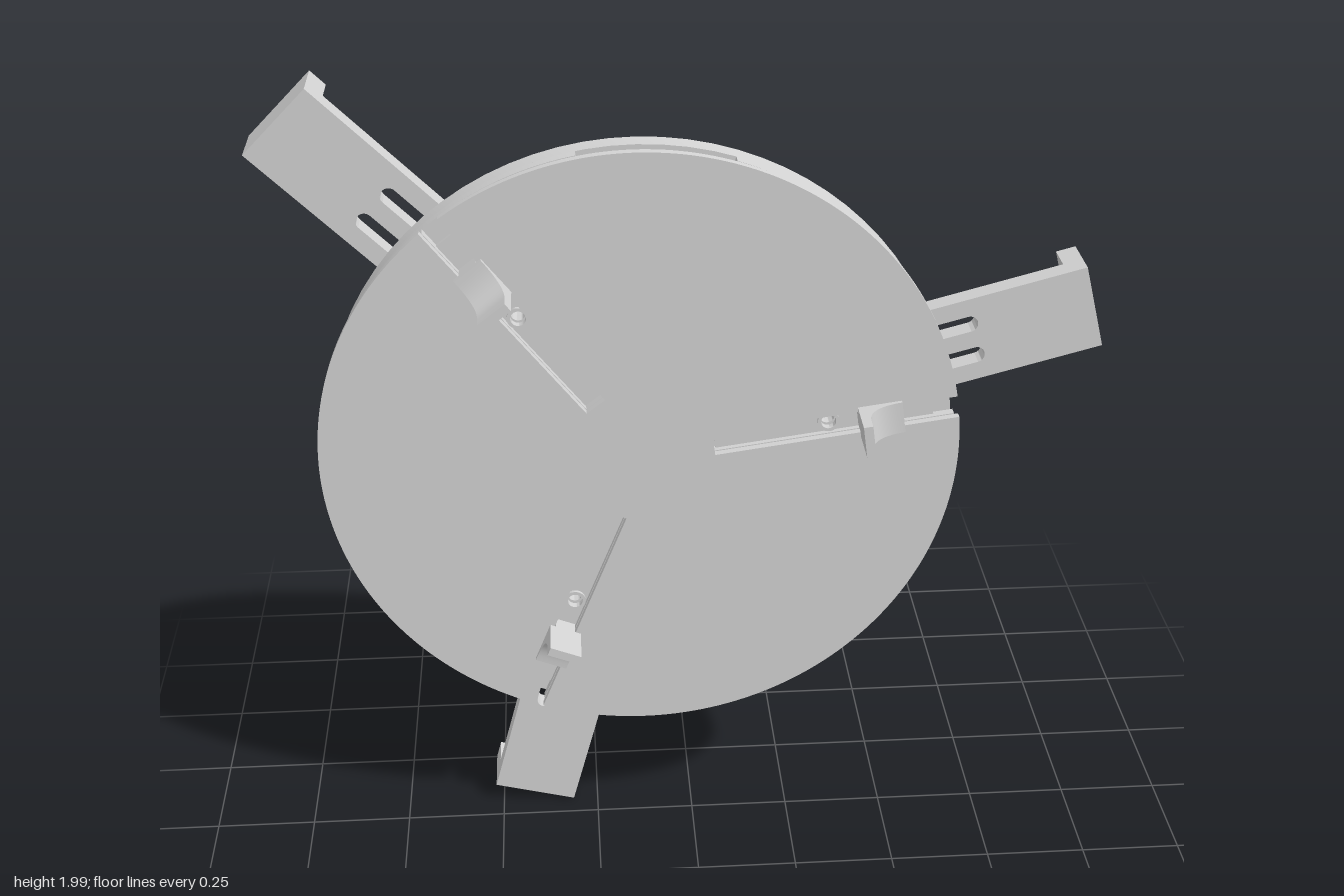
import * as THREE from 'three';
import { toCreasedNormals } from 'three/addons/utils/BufferGeometryUtils.js';

const rad = THREE.MathUtils.degToRad;
const THIRD = (Math.PI * 2) / 3;
const SLOT_ANGLE = rad(8);
const ARM_ANGLE = rad(15);

export function createModel() {
  const gray = new THREE.MeshStandardMaterial({ color: 0xd4d4d4 });
  gray.name = 'machined light gray';

  const model = new THREE.Group();
  model.name = 'scrollChuck';
  const chuck = new THREE.Group();
  chuck.name = 'chuckAssembly';
  chuck.position.set(-0.124, 1.12, 0);
  model.add(chuck);

  const add = (parent, name, geometry) => {
    const mesh = new THREE.Mesh(geometry, gray);
    mesh.name = name;
    parent.add(mesh);
    return mesh;
  };
  // Extrude a shape between two depths, keeping crisp edges and smooth rims
  const slab = (shape, z0, z1) => {
    const g = new THREE.ExtrudeGeometry(shape, { depth: z1 - z0, bevelEnabled: false, curveSegments: 40 });
    g.translate(0, 0, z0);
    return toCreasedNormals(g, 0.5);
  };
  const box = (x0, x1, width, z0, z1) =>
    new THREE.BoxGeometry(x1 - x0, width, z1 - z0).translate((x0 + x1) / 2, 0, (z0 + z1) / 2);
  // Three copies around the chuck axis, local x pointing outward
  const around = (name, angle, build) => {
    for (let i = 0; i < 3; i++) {
      const g = new THREE.Group();
      g.name = name + (i + 1);
      g.rotation.z = angle + i * THIRD;
      chuck.add(g);
      build(g);
    }
  };
  const circle = (x, y, r) => new THREE.Path().absarc(x, y, r, 0, Math.PI * 2, true);
  const ring = (outer, inner) => {
    const s = new THREE.Shape().absarc(0, 0, outer, 0, Math.PI * 2, false);
    s.holes.push(circle(0, 0, inner));
    return s;
  };

  // Cover plates with three jaw slots open at the rim
  const slottedDisc = (r) => {
    const s = new THREE.Shape();
    const w = 0.0275, inner = 0.172, h = Math.asin(w / r);
    for (let i = 0; i < 3; i++) {
      const a = SLOT_ANGLE + i * THIRD, c = Math.cos(a), n = Math.sin(a);
      const start = [r * Math.cos(a - h), r * Math.sin(a - h)];
      if (i === 0) s.moveTo(...start);
      else s.lineTo(...start);
      s.lineTo(inner * c + w * n, inner * n - w * c);
      s.lineTo(inner * c - w * n, inner * n + w * c);
      s.absarc(0, 0, r, a + h, a + THIRD - h, false);
    }
    return s;
  };
  add(chuck, 'frontPlate', slab(slottedDisc(0.757), 0.06, 0.078));
  add(chuck, 'guidePlate', slab(slottedDisc(0.748), 0.034, 0.056));
  add(chuck, 'plateCore', new THREE.CylinderGeometry(0.1, 0.1, 0.04, 48).rotateX(Math.PI / 2).translate(0, 0, 0.04));

  // Main body, with a small through hole under each slider
  const pinHoles = (s) => {
    for (let i = 0; i < 3; i++) {
      const a = SLOT_ANGLE + i * THIRD;
      s.holes.push(circle(0.45 * Math.cos(a), 0.45 * Math.sin(a), 0.018));
    }
    return s;
  };
  const bodyShape = pinHoles(new THREE.Shape().absarc(0, 0, 0.745, 0, Math.PI * 2, false));
  add(chuck, 'bodyDisc', slab(bodyShape, -0.055, -0.006));

  // Front layer of the body with three shallow rim notches
  const notched = new THREE.Shape();
  for (let i = 0; i < 3; i++) {
    const a = rad(86.5) + i * THIRD, h = rad(14);
    notched.absarc(0, 0, 0.715, a - h, a + h, false);
    notched.absarc(0, 0, 0.745, a + h, a + THIRD - h, false);
  }
  add(chuck, 'bodyFrontLayer', slab(pinHoles(notched), -0.006, 0.022));

  // Sliders and jaws
  const sliderShape = new THREE.Shape();
  sliderShape.moveTo(0.175, -0.027).lineTo(0.7, -0.027).lineTo(0.7, 0.027).lineTo(0.175, 0.027);
  sliderShape.holes.push(circle(0.45, 0, 0.018));

  const jawShape = new THREE.Shape();
  jawShape.moveTo(0.52, 0.079).lineTo(0.625, 0.079).lineTo(0.625, 0.088);
  jawShape.quadraticCurveTo(0.542, 0.09, 0.542, 0.15);
  jawShape.lineTo(0.542, 0.181).lineTo(0.52, 0.181);
  const jawGeometry = toCreasedNormals(
    new THREE.ExtrudeGeometry(jawShape, { depth: 0.08, bevelEnabled: false, curveSegments: 10 })
      .translate(0, 0, -0.04).rotateX(Math.PI / 2), 0.5);

  around('jawUnit', SLOT_ANGLE, (g) => {
    add(g, 'slider', slab(sliderShape, 0.034, 0.044));
    add(g, 'sliderBoss', slab(ring(0.026, 0.018), 0.044, 0.052)).position.x = 0.45;
    add(g, 'jawFoot', box(0.52, 0.625, 0.05, 0.036, 0.08));
    add(g, 'jaw', jawGeometry);
  });

  // Mounting arms with twin adjustment slots and a hooked end
  const armShape = new THREE.Shape();
  armShape.moveTo(0.4, -0.106).lineTo(1.128, -0.106).lineTo(1.128, 0.106).lineTo(0.4, 0.106);
  for (const y of [-0.042, 0.042]) {
    const p = new THREE.Path();
    p.absarc(0.46, y, 0.02, Math.PI * 1.5, Math.PI / 2, true);
    p.absarc(0.83, y, 0.02, Math.PI / 2, -Math.PI / 2, true);
    p.closePath();
    armShape.holes.push(p);
  }
  around('arm', ARM_ANGLE, (g) => {
    add(g, 'armBar', slab(armShape, -0.105, -0.055));
    add(g, 'armHook', box(1.08, 1.128, 0.212, -0.181, -0.104));
    for (const x of [0.54, 0.66])
      for (const y of [-0.042, 0.042])
        add(g, 'slotPeg', new THREE.CylinderGeometry(0.016, 0.016, 0.025, 16)
          .rotateX(Math.PI / 2).translate(x, y, -0.067));
  });

  // Raised back rim, broken where the arms pass, with spokes between them
  const rimShape = new THREE.Shape();
  const gap = Math.asin(0.106 / 0.6), half = Math.PI / 3 - gap;
  rimShape.absarc(0, 0, 0.62, -half, half, false);
  rimShape.absarc(0, 0, 0.585, half, -half, true);
  around('backRib', ARM_ANGLE + Math.PI / 3, (g) => {
    add(g, 'rimSegment', slab(rimShape, -0.1, -0.055));
    add(g, 'spoke', box(0.135, 0.6, 0.05, -0.098, -0.055));
  });

  // Back hub
  add(chuck, 'hubRing', slab(ring(0.145, 0.1), -0.1, -0.055));
  add(chuck, 'hubCap', new THREE.CylinderGeometry(0.075, 0.075, 0.03, 48).rotateX(Math.PI / 2).translate(0, 0, -0.07));

  return model;
}
